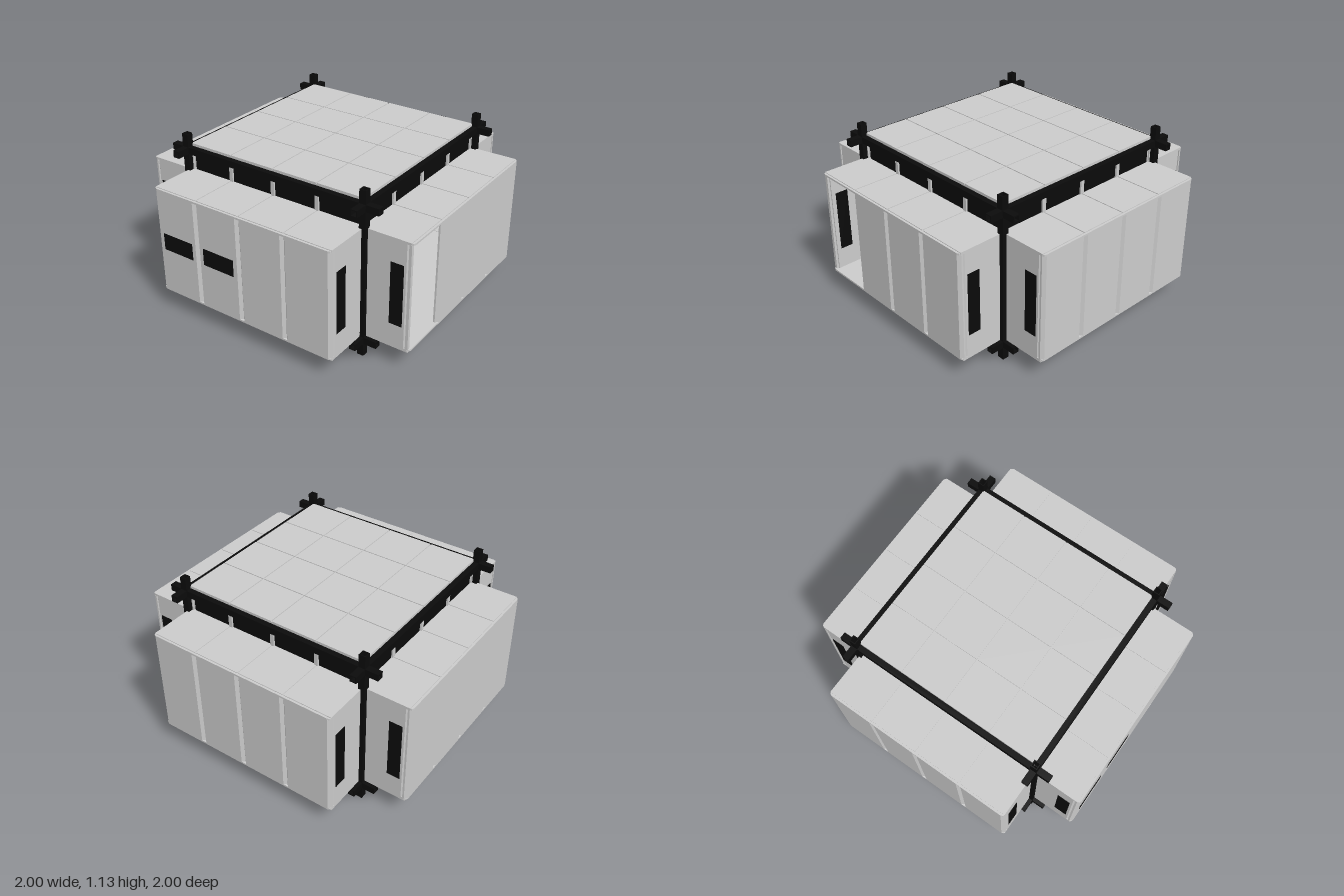
import * as THREE from 'three';

const grey = new THREE.MeshStandardMaterial({ color: 0xcccccc, flatShading: true });
const black = new THREE.MeshStandardMaterial({ color: 0x0b0b0b, flatShading: true });

const HALF = 0.67;           // half width of the core and of each bay
const OUT = 1;               // outer face of the bays
const JOINT = 0.674;         // frame joint offset in x and z
const LOW = 0.113, HIGH = 1.02; // heights of the two frame rings
const TUBE = 0.045, BORE = 0.033;
const SEAMS = [-0.33, 0, 0.33];

function add(parent, name, geometry, material) {
  const mesh = new THREE.Mesh(geometry, material);
  mesh.name = name;
  parent.add(mesh);
  return mesh;
}

// Box given by its lower and upper limits
function box(parent, name, [x0, x1], [y0, y1], [z0, z1], material = grey) {
  const mesh = add(parent, name, new THREE.BoxGeometry(x1 - x0, y1 - y0, z1 - z0), material);
  mesh.position.set((x0 + x1) / 2, (y0 + y1) / 2, (z0 + z1) / 2);
  return mesh;
}

// Plan outline of [x, z] points raised from y0 to y1
function raise(parent, name, points, y0, y1) {
  const shape = new THREE.Shape(points.map(([x, z]) => new THREE.Vector2(x, -z)));
  const geometry = new THREE.ExtrudeGeometry(shape, { depth: y1 - y0, bevelEnabled: false });
  geometry.rotateX(-Math.PI / 2);
  add(parent, name, geometry, grey).position.y = y0;
}

// Slab outline with softened outer corners
function slabOutline(w, z0, z1) {
  const r = 0.02, k = r * 0.3;
  return [[-w, z0], [w, z0], [w, z1 - r], [w - k, z1 - k], [w - r, z1],
    [-w + r, z1], [-w + k, z1 - k], [-w, z1 - r]];
}

// Square open tube along an axis from a to b
function tube(parent, name, axis, a, b, centre) {
  const square = (s, path) => {
    path.moveTo(-s, -s); path.lineTo(s, -s); path.lineTo(s, s); path.lineTo(-s, s); path.closePath();
    return path;
  };
  const shape = square(TUBE / 2, new THREE.Shape());
  shape.holes.push(square(BORE / 2, new THREE.Path()));
  const geometry = new THREE.ExtrudeGeometry(shape, { depth: b - a, bevelEnabled: false });
  geometry.translate(0, 0, a);
  if (axis === 'x') geometry.rotateY(Math.PI / 2);
  if (axis === 'y') geometry.rotateX(-Math.PI / 2);
  add(parent, name, geometry, black).position.set(...centre);
}

// Frame of hollow beams with arms passing through every joint
function makeFrame() {
  const frame = new THREE.Group();
  frame.name = 'frame';
  const h = BORE / 2, end = 0.785;
  for (const s of [-1, 1]) {
    for (const y of [LOW, HIGH]) {
      for (const axis of ['x', 'z']) {
        const centre = axis === 'x' ? [0, y, s * JOINT] : [s * JOINT, y, 0];
        tube(frame, 'ringBeam', axis, -JOINT + h, JOINT - h, centre);
        tube(frame, 'jointArm', axis, JOINT + h, end, centre);
        tube(frame, 'jointArm', axis, -end, -JOINT - h, centre);
      }
    }
    for (const t of [-1, 1]) {
      const centre = [s * JOINT, 0, t * JOINT];
      tube(frame, 'foot', 'y', 0, LOW - h, centre);
      tube(frame, 'post', 'y', LOW + h, HIGH - h, centre);
      tube(frame, 'finial', 'y', HIGH + h, 1.13, centre);
    }
  }
  // Floor joists with small hanging clips
  for (const z of SEAMS) {
    box(frame, 'floorJoist', [-0.65, 0.65], [0.092, 0.13], [z - 0.02, z + 0.02], black);
    for (const x of SEAMS) box(frame, 'joistClip', [x - 0.008, x + 0.008], [0.08, 0.13], [z - 0.008, z + 0.008]);
  }
  return frame;
}

// Four panels in a row along x with narrow seams
function tileRow(parent, name, half, gap, y, z) {
  const step = half / 2;
  for (let i = 0; i < 4; i++) {
    const x = -half + i * step;
    box(parent, name, [x + (i ? gap : 0), x + step - (i < 3 ? gap : 0)], y, z);
  }
}

// Central roof and floor, each of four by four panels
function makeCore() {
  const core = new THREE.Group();
  core.name = 'core';
  const R = 0.658, step = R / 2;
  box(core, 'roofSlab', [-R, R], [1.0, 1.054], [-R, R]);
  box(core, 'floorSlab', [-0.665, 0.665], [0.135, 0.152], [-0.665, 0.665]);
  for (let i = 0; i < 4; i++) {
    const z = -R + i * step;
    tileRow(core, 'roofPanel', R, 0.003, [1.045, 1.06], [z + (i ? 0.003 : 0), z + step - (i < 3 ? 0.003 : 0)]);
    tileRow(core, 'floorPanel', R, 0.008, [0.127, 0.14], [z + 0.008, z + step - 0.008]);
  }
  return core;
}

// Projecting bay facing +z, with the strip of windows above it
function makeBay(name, { door = false, slits = [] } = {}) {
  const bay = new THREE.Group();
  bay.name = name;
  const y0 = 0.155, y1 = 0.865, step = HALF / 2, c = 0.018, t = 0.03;

  // Floor and roof
  raise(bay, 'bayFloor', slabOutline(HALF, 0.665, OUT), 0.143, y0);
  raise(bay, 'bayRoof', slabOutline(HALF, 0.655, OUT), y1, 0.877);
  tileRow(bay, 'bayFloorPanel', HALF, 0.008, [0.135, 0.146], [0.675, OUT - 0.012]);
  tileRow(bay, 'bayRoofPanel', HALF, 0.003, [0.87, 0.881], [0.655, OUT - 0.015]);

  // Front panels with chamfered sides that form the seams
  for (let i = 0; i < 4; i++) {
    const a = -HALF + i * step, b = a + step;
    if (door && i === 0) {
      box(bay, 'doorJamb', [a, a + 0.022], [y0, y1], [OUT - t, OUT - 0.012]);
      continue;
    }
    raise(bay, 'frontPanel', [[a, OUT - t], [b, OUT - t], [b, OUT - c],
      [b - c, OUT], [a + c, OUT], [a, OUT - c]], y0, y1);
  }

  // End walls with tall windows
  for (const s of [-1, 1]) {
    const o = s * HALF, n = s * (HALF - t), m = s * (HALF - 0.012);
    const points = [[n, 0.675], [m, 0.675], [o, 0.697], [o, 0.958], [m, 0.972], [n, 0.972]];
    raise(bay, 'endPanel', s > 0 ? points : points.reverse(), y0, y1);
    const mid = s * (HALF - t / 2);
    box(bay, 'endWindow', [mid - 0.018, mid + 0.018], [0.3, 0.72], [0.855, 0.943], black);
  }

  // Wide slit windows
  for (const x of slits) box(bay, 'slitWindow', [x - 0.12, x + 0.12], [0.455, 0.57], [OUT - 0.034, OUT + 0.003], black);

  // Window strip between bay roof and top ring
  box(bay, 'stripWindow', [-0.645, 0.645], [0.87, 0.995], [0.64, 0.652], black);
  box(bay, 'stripRail', [-0.65, 0.65], [0.99, 1.005], [0.636, 0.656]);
  for (const x of [-0.648, ...SEAMS, 0.648]) {
    const w = Math.abs(x) > 0.5 ? 0.005 : 0.013;
    box(bay, 'stripMullion', [x - w, x + w], [0.87, 1.0], [0.635, 0.664]);
  }
  return bay;
}

export function createModel() {
  const model = new THREE.Group();
  model.name = 'modularPavilion';
  const bays = [
    makeBay('frontBay', { door: true }),
    makeBay('leftBay'),
    makeBay('backBay'),
    makeBay('rightBay', { slits: [-0.5, -0.168] }),
  ];
  bays.forEach((bay, i) => { bay.rotation.y = i * Math.PI / 2; });
  model.add(makeFrame(), makeCore(), ...bays);
  return model;
}
